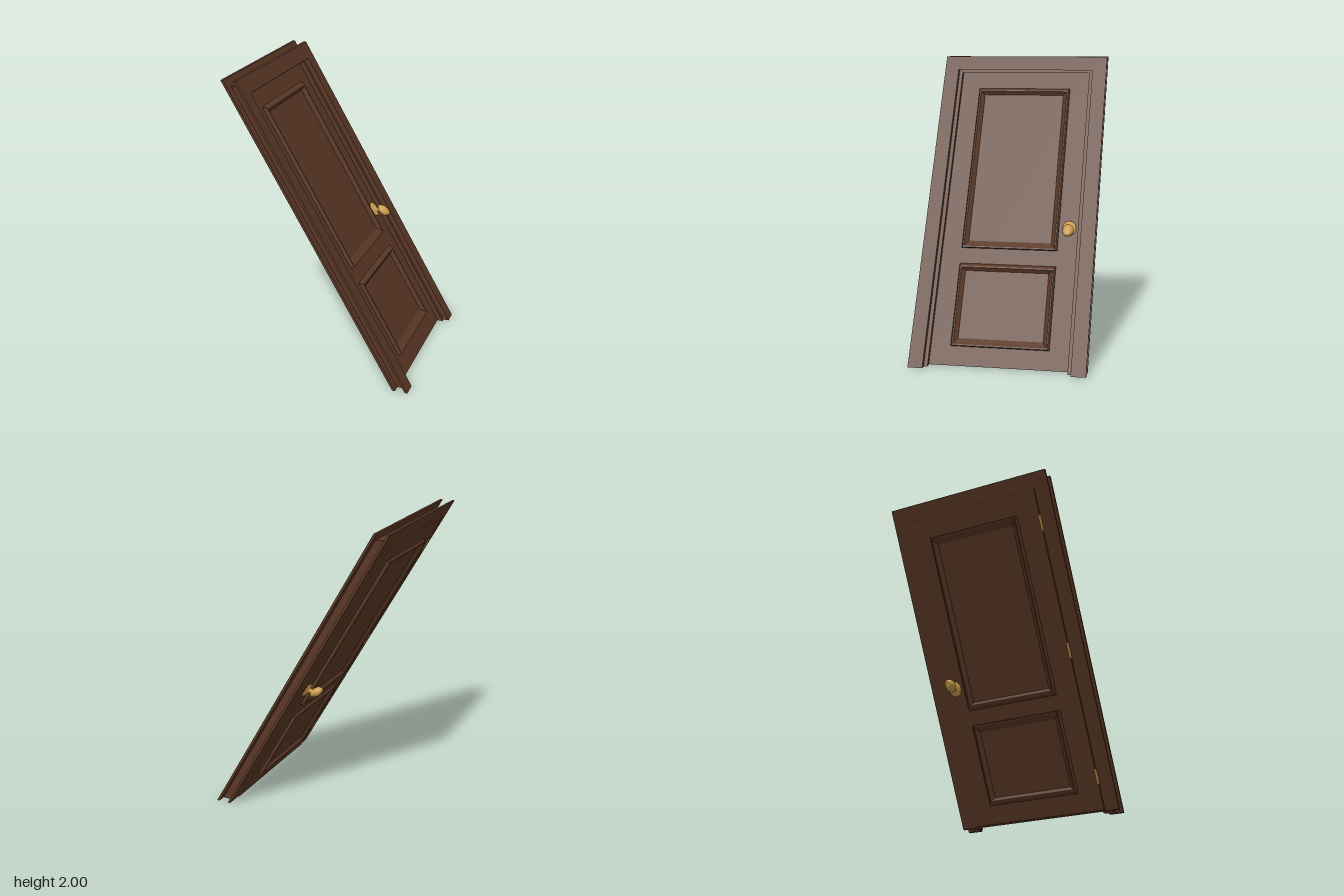
import * as THREE from 'three';

const wood = new THREE.MeshStandardMaterial({ color: 0x5a3826 });
wood.name = 'dark wood';
const brass = new THREE.MeshStandardMaterial({ color: 0xc99c4c });
brass.name = 'brass';

// The whole door leans: x slides with height while horizontal edges stay level
const LEAN = 0.577;
const shear = new THREE.Matrix4().set(
  1, -LEAN, 0, LEAN,
  0, 1, 0, 0,
  0, 0, 1, 0,
  0, 0, 0, 1
);

const FRONT = -0.022, BACK = -0.062; // faces of the door leaf

export function createModel() {
  const group = new THREE.Group();
  const add = (name, geo, mat) => {
    geo.applyMatrix4(shear);
    const mesh = new THREE.Mesh(geo, mat);
    mesh.name = name;
    group.add(mesh);
  };

  // Three-sided surround, open at the floor, from x0 to x1
  const surround = (outer, outerTop, inner, innerTop, x0, x1) => {
    const pts = [[-outer, 0], [-inner, 0], [-inner, innerTop], [inner, innerTop],
      [inner, 0], [outer, 0], [outer, outerTop], [-outer, outerTop]];
    const shape = new THREE.Shape(pts.map(p => new THREE.Vector2(...p)));
    const geo = new THREE.ExtrudeGeometry(shape, { depth: x1 - x0, bevelEnabled: false });
    return geo.rotateY(Math.PI / 2).translate(x0, 0, 0);
  };

  // Frame: casings on both faces, jamb between them, stop inside
  add('frontCasing', surround(0.587, 2, 0.488, 1.905, 0.033, 0.052), wood);
  add('backCasing', surround(0.587, 2, 0.488, 1.905, -0.052, -0.033), wood);
  add('jamb', surround(0.533, 1.95, 0.488, 1.905, -0.033, 0.033), wood);
  add('doorStop', surround(0.488, 1.905, 0.463, 1.885, FRONT, 0.013), wood);

  // Door leaf
  const leaf = new THREE.BoxGeometry(FRONT - BACK, 1.895, 0.968);
  add('doorLeaf', leaf.translate((FRONT + BACK) / 2, 0.952, 0), wood);

  // Mitred moulding around a panel; profile is [inset, height above the leaf]
  const profile = [[0, 0], [0.003, 0.018], [0.01, 0.027], [0.018, 0.027], [0.03, 0.014], [0.045, 0]];
  const moulding = (y0, y1, half, face, side) => {
    const ring = ([w, h]) => [[y0 + w, half - w], [y0 + w, w - half], [y1 - w, w - half], [y1 - w, half - w]]
      .map(([y, z]) => [face + side * h, y, z]);
    const pos = [];
    for (let i = 0; i < profile.length - 1; i++) {
      const a = ring(profile[i]), b = ring(profile[i + 1]);
      for (let k = 0; k < 4; k++) {
        const n = (k + 1) % 4;
        const quad = [a[k], a[n], b[n], b[k]];
        if (side < 0) quad.reverse();
        for (const j of [0, 1, 2, 0, 2, 3]) pos.push(...quad[j]);
      }
    }
    const geo = new THREE.BufferGeometry();
    geo.setAttribute('position', new THREE.Float32BufferAttribute(pos, 3));
    geo.computeVertexNormals();
    return geo;
  };

  // Knob with its round plate, turned along x
  const knobProfile = [[0, 0], [0.046, 0], [0.046, 0.007], [0.04, 0.013], [0.026, 0.018], [0.016, 0.022],
    [0.014, 0.038], [0.02, 0.043], [0.032, 0.053], [0.038, 0.067], [0.037, 0.08], [0.031, 0.096],
    [0.022, 0.108], [0.014, 0.113], [0.011, 0.109], [0, 0.109]].map(p => new THREE.Vector2(...p));

  for (const [label, face, side] of [['front', FRONT, 1], ['back', BACK, -1]]) {
    add(label + 'UpperMoulding', moulding(0.713, 1.772, 0.33, face, side), wood);
    add(label + 'LowerMoulding', moulding(0.12, 0.617, 0.33, face, side), wood);
    const knob = new THREE.LatheGeometry(knobProfile, 28);
    add(label + 'Knob', knob.rotateZ(-side * Math.PI / 2).translate(face, 0.855, -0.4), brass);
  }

  // Hinge barrels on the back, opposite the knob
  for (const y of [1.7, 0.95, 0.2]) {
    const barrel = new THREE.CylinderGeometry(0.008, 0.008, 0.09, 12);
    add('hinge', barrel.translate(-0.062, y, 0.486), brass);
  }

  return group;
}
